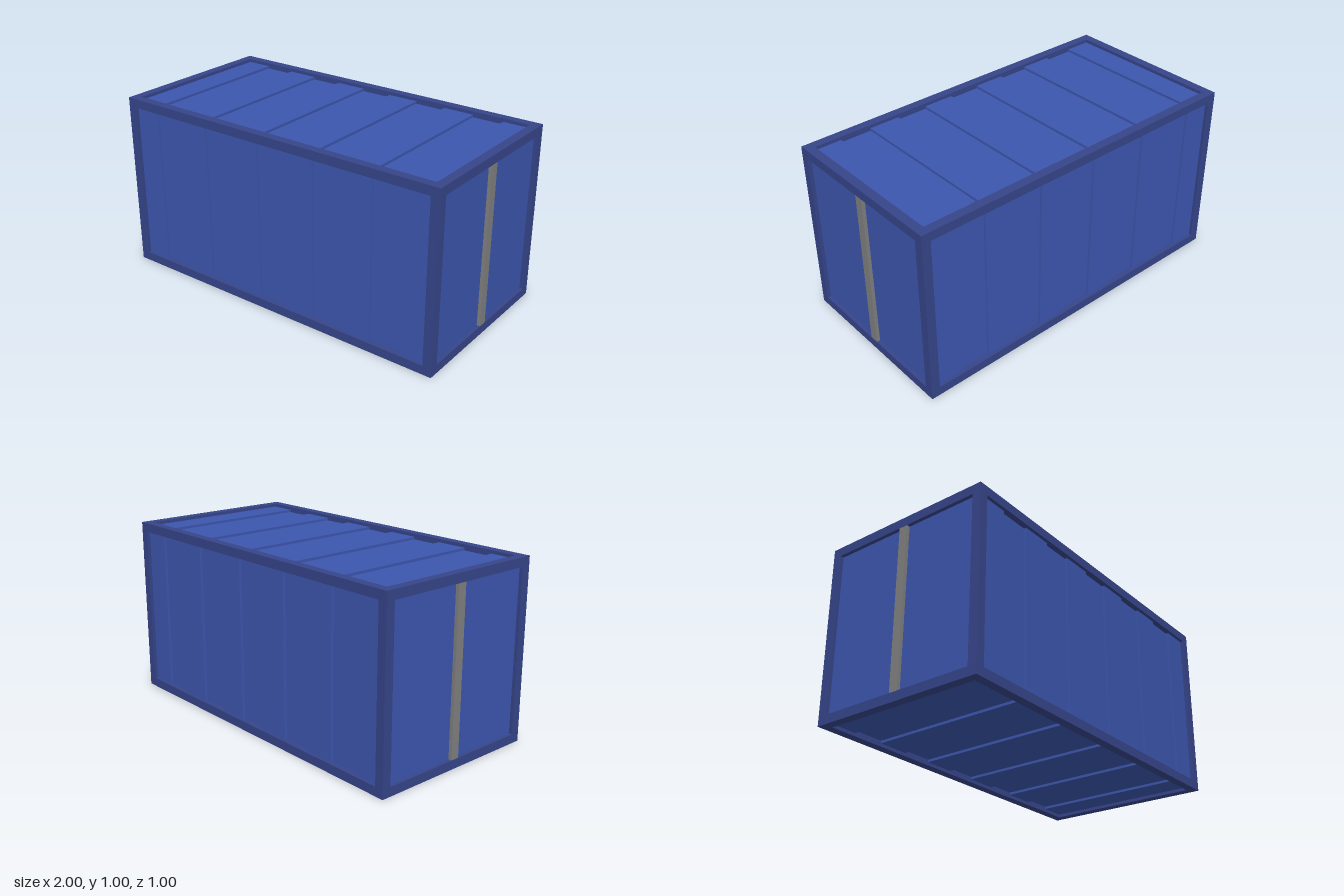
import * as THREE from 'three';

export function createModel() {
  const model = new THREE.Group();
  model.name = 'cargoContainer';

  const frameBlue = new THREE.MeshStandardMaterial({ color: 0x36458a });
  frameBlue.name = 'frame blue';
  const panelBlue = new THREE.MeshStandardMaterial({ color: 0x3c56ae });
  panelBlue.name = 'panel blue';
  const barGrey = new THREE.MeshStandardMaterial({ color: 0x808080 });
  barGrey.name = 'bar grey';

  const L = 2, H = 1, W = 1, T = 0.05; // outer size and beam thickness

  function box(name, material, w, h, d, x, y, z, parent = model) {
    const mesh = new THREE.Mesh(new THREE.BoxGeometry(w, h, d), material);
    mesh.name = name;
    mesh.position.set(x, y, z);
    parent.add(mesh);
  }

  // Frame: four beams along each axis, butted at the corners
  const frame = new THREE.Group();
  frame.name = 'frame';
  model.add(frame);
  const ex = (L - T) / 2, ey = (H - T) / 2, ez = (W - T) / 2;
  for (const a of [-1, 1]) {
    for (const b of [-1, 1]) {
      box('longBeam', frameBlue, L, T, T, 0, H / 2 + a * ey, b * ez, frame);
      box('cornerPost', frameBlue, T, H - 2 * T, T, a * ex, H / 2, b * ez, frame);
      box('crossBeam', frameBlue, T, T, W - 2 * T, a * ex, H / 2 + b * ey, 0, frame);
    }
  }

  // Body: its sides are the recessed bays, its ends are the doors
  const endInset = 0.02, bayInset = 0.032, ribInset = 0.018;
  box('body', panelBlue, L - 2 * endInset, H - 2 * bayInset, W - 2 * bayInset, 0, H / 2, 0);

  // Raised ribs wrapping round the walls, roof and floor
  const ribs = [[-0.95, -0.8], [-0.6225, -0.445], [-0.2675, -0.09],
    [0.09, 0.2675], [0.445, 0.6225], [0.8, 0.95]];
  for (const [x0, x1] of ribs) {
    box('wallRib', panelBlue, x1 - x0, H - 2 * ribInset, W - 2 * ribInset, (x0 + x1) / 2, H / 2, 0);
  }

  // Locking bar down the middle of each end
  for (const s of [-1, 1]) {
    box('lockingBar', barGrey, 0.03, H - 2 * T, 0.05, s * 0.984, H / 2, 0);
  }

  return model;
}
